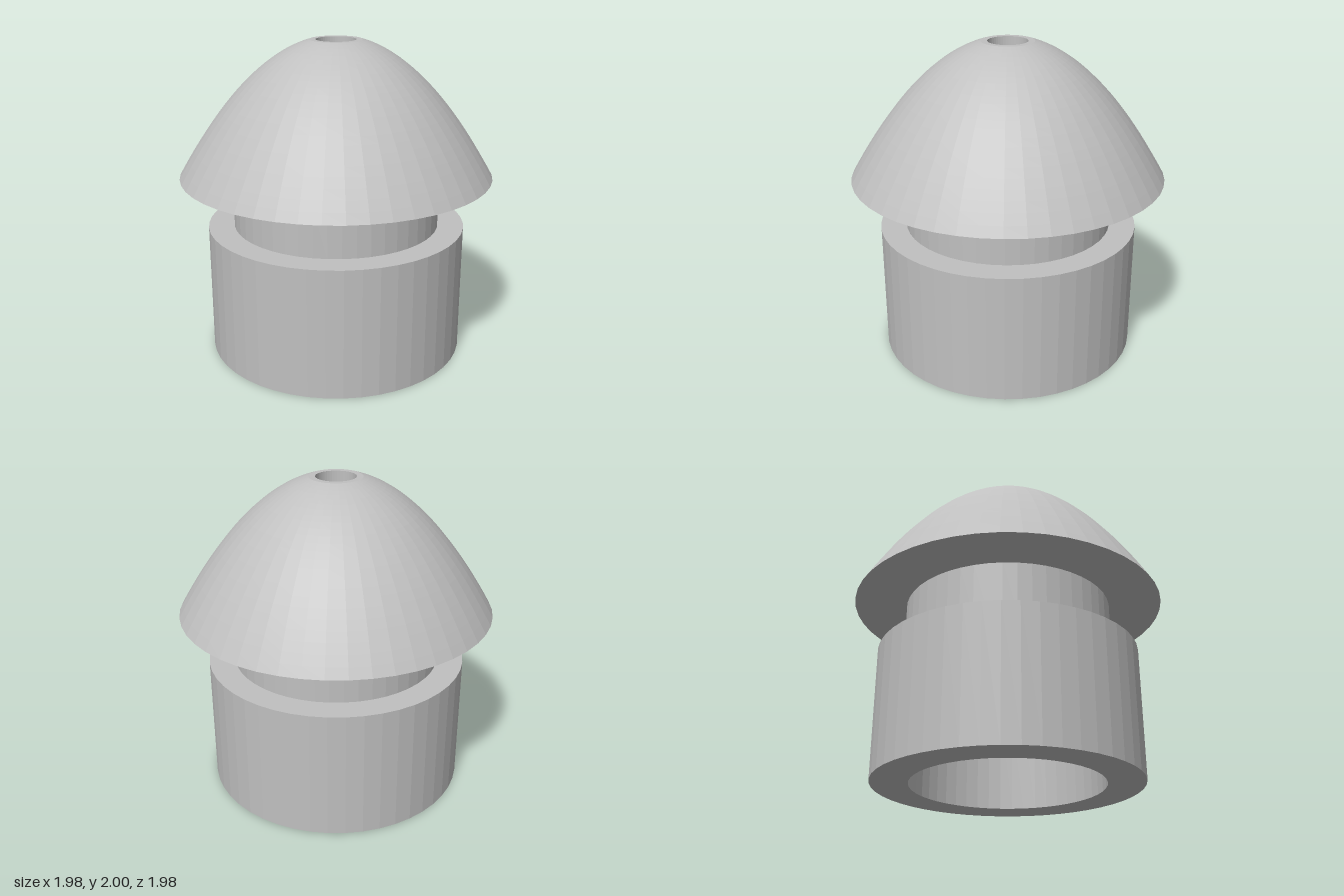
import * as THREE from 'three';

const SIDES = 48;
const BASE_R = 0.825, NECK_R = 0.66, CAP_R = 0.99, TIP_R = 0.165;
const HOLE_R = 0.125, BORE_R = 0.595;
const BASE_TOP = 0.825, CAP_BOTTOM = 1.157, TOP = 2, BORE_TOP = 0.645;

export function createModel() {
  const group = new THREE.Group();
  const grey = new THREE.MeshStandardMaterial({ color: 0xc0c0c0, flatShading: true });
  grey.name = 'light grey';

  // Revolve a [radius, height] profile; outer walls run upward, inner walls downward
  const turn = (name, profile) => {
    const points = profile.map(([r, y]) => new THREE.Vector2(r, y));
    const mesh = new THREE.Mesh(new THREE.LatheGeometry(points, SIDES), grey);
    mesh.name = name;
    group.add(mesh);
  };

  // Wide base ring with its flat underside and shoulder
  turn('base', [[BORE_R, 0], [BASE_R, 0], [BASE_R, BASE_TOP], [NECK_R, BASE_TOP]]);

  // Recessed neck
  turn('neck', [[NECK_R, BASE_TOP], [NECK_R, CAP_BOTTOM]]);

  // Parabolic cap with flat underside and truncated tip
  const k = (TOP - CAP_BOTTOM) / (CAP_R ** 2 - TIP_R ** 2);
  const cap = [[NECK_R, CAP_BOTTOM]];
  const steps = 24;
  for (let i = 0; i <= steps; i++) {
    const r = CAP_R + (TIP_R - CAP_R) * (i / steps);
    cap.push([r, TOP - k * (r * r - TIP_R ** 2)]);
  }
  cap.push([HOLE_R, TOP]);
  turn('cap', cap);

  // Narrow hole through the cap, opening into the wide bore below
  turn('centreHole', [[HOLE_R, TOP], [HOLE_R, BORE_TOP]]);
  turn('baseBore', [[HOLE_R, BORE_TOP], [BORE_R, BORE_TOP], [BORE_R, 0]]);

  return group;
}
